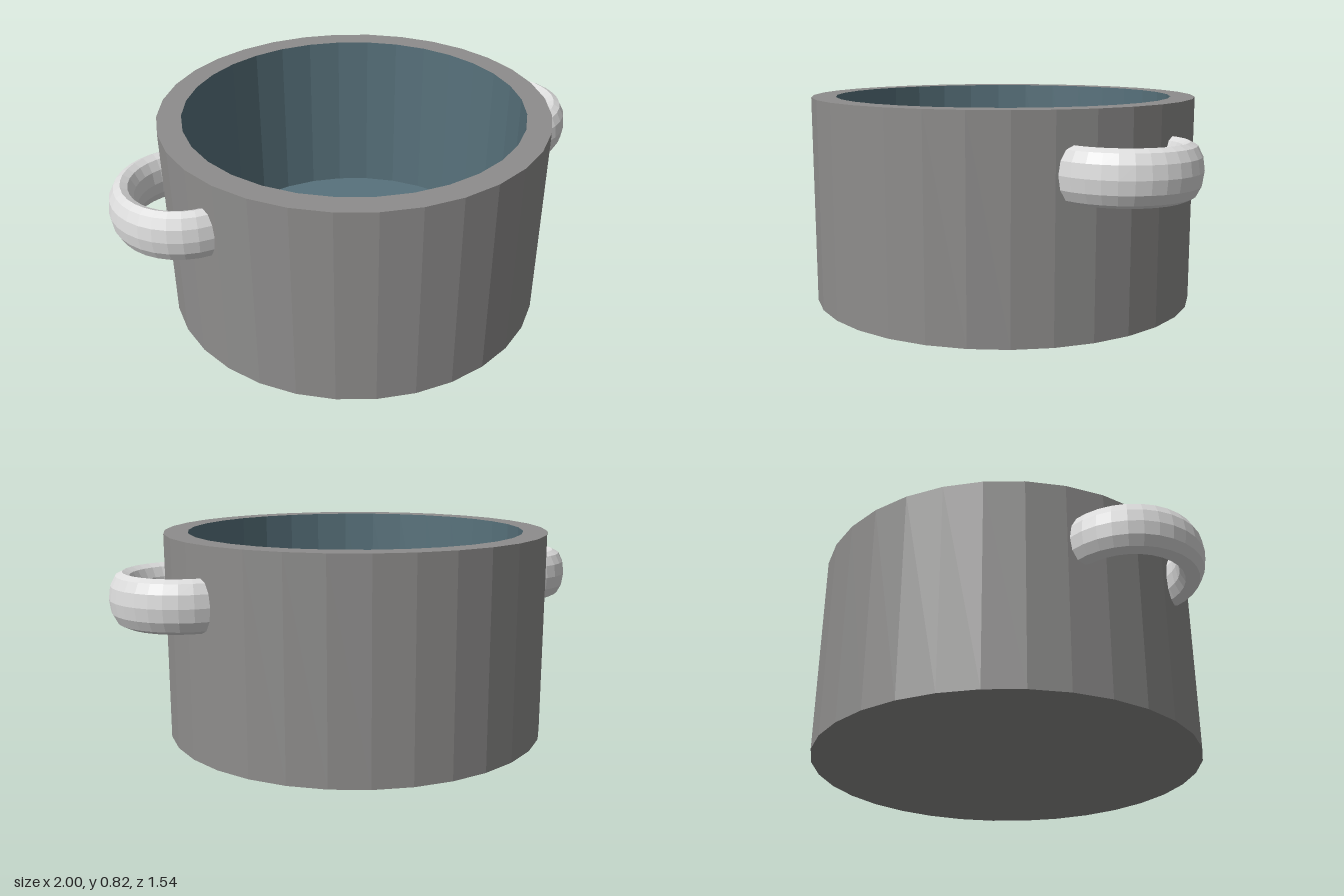
import * as THREE from 'three';

// Faceted normals, one per triangle
function facet(geometry) {
  const flat = geometry.toNonIndexed();
  flat.computeVertexNormals();
  return flat;
}

function lathe(points, sides) {
  return facet(new THREE.LatheGeometry(points.map(([x, y]) => new THREE.Vector2(x, y)), sides));
}

export function createModel() {
  const group = new THREE.Group();
  const potGrey = new THREE.MeshStandardMaterial({ color: 0x8e8d8c });
  potGrey.name = 'potGrey';
  const handleSilver = new THREE.MeshStandardMaterial({ color: 0xdcdcdc });
  handleSilver.name = 'handleSilver';
  const liningBlue = new THREE.MeshStandardMaterial({ color: 0x58727c });
  liningBlue.name = 'liningBlue';

  const add = (name, geometry, material) => {
    const mesh = new THREE.Mesh(geometry, material);
    mesh.name = name;
    group.add(mesh);
  };

  const outer = 0.77, inner = 0.675, height = 0.82, floor = 0.1, sides = 32;

  // Base, outer wall and rim
  add('potBody', lathe([[0, 0], [outer, 0], [outer, height], [inner, height]], sides), potGrey);

  // Inner wall and floor
  add('potLining', lathe([[inner, height], [inner, floor], [0, floor]], sides), liningBlue);

  // Looped handles with an oval section; the ends are buried in the wall
  const ring = 0.234, tube = 0.052, bury = 0.2;
  for (const [name, turn] of [['leftHandle', 0], ['rightHandle', Math.PI]]) {
    const loop = new THREE.TorusGeometry(ring, tube, 12, 18, Math.PI + 2 * bury);
    loop.rotateZ(-bury);
    loop.scale(1, 1, 0.1 / tube);
    loop.rotateX(-Math.PI / 2);
    loop.rotateY(-Math.PI / 2);
    loop.translate(0.714, 0.6, 0);
    loop.rotateY(turn);
    add(name, facet(loop), handleSilver);
  }

  return group;
}
